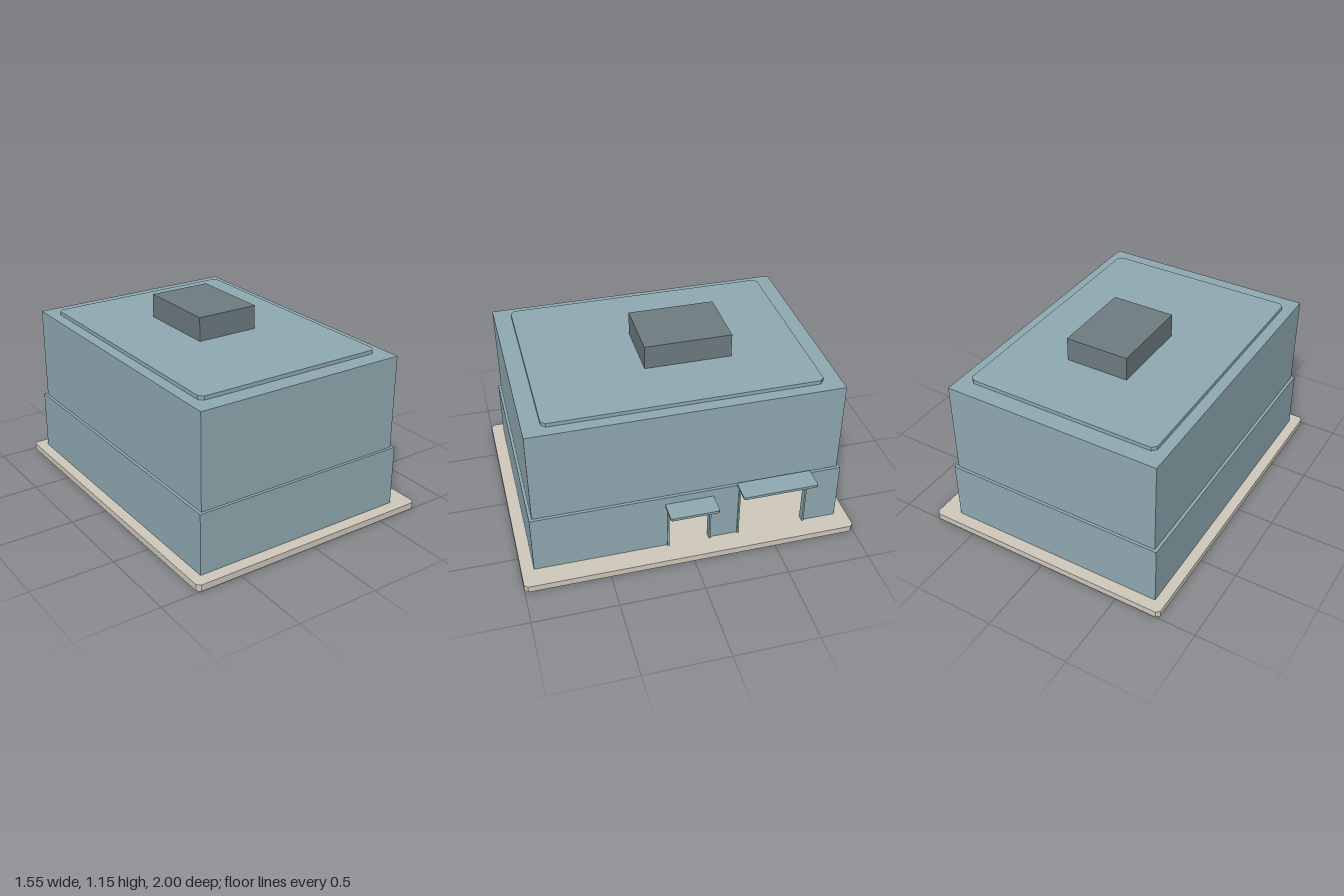
import * as THREE from 'three';

const mat = (name, color) => {
  const m = new THREE.MeshStandardMaterial({ color });
  m.name = name;
  return m;
};

export function createModel() {
  const blue = mat('blue grey wall', 0x8fa9b1);
  const cream = mat('warm concrete', 0xcfc8bb);
  const grey = mat('dark grey', 0x6d7b80);
  const model = new THREE.Group();
  model.name = 'building';

  const add = (name, geometry, material, parent = model) => {
    const mesh = new THREE.Mesh(geometry, material);
    mesh.name = name;
    parent.add(mesh);
    return mesh;
  };

  // Box given by its limits on each axis
  const box = (name, [x0, x1], [y0, y1], [z0, z1], material, parent) => {
    const g = new THREE.BoxGeometry(x1 - x0, y1 - y0, z1 - z0);
    g.translate((x0 + x1) / 2, (y0 + y1) / 2, (z0 + z1) / 2);
    return add(name, g, material, parent);
  };

  // Flat slab with chamfered corners, c on the left side and on the right side
  const slab = (name, [x0, x1], [y0, y1], [z0, z1], c, material, parent) => {
    const points = [
      [x0 + c, -z1], [x1 - c, -z1], [x1, -z1 + c], [x1, -z0 - c],
      [x1 - c, -z0], [x0 + c, -z0], [x0, -z0 - c], [x0, -z1 + c],
    ].map(([x, y]) => new THREE.Vector2(x, y));
    const g = new THREE.ExtrudeGeometry(new THREE.Shape(points), { depth: y1 - y0, bevelEnabled: false });
    g.rotateX(-Math.PI / 2).translate(0, y0, 0);
    return add(name, g, material, parent);
  };

  const floor = 0.04, ledge = 0.41, t = 0.03;
  const doors = [
    { name: 'smallEntrance', z0: -0.13, z1: 0.13, top: 0.325 },
    { name: 'largeEntrance', z0: -0.72, z1: -0.3, top: 0.388 },
  ];

  // Ground slab
  slab('groundSlab', [-0.775, 0.775], [0, floor], [-1, 1], 0.02, cream);

  // Hollow lower storey
  const x0 = -0.71, x1 = 0.645, z = 0.925;
  box('lowerFrontWall', [x0, x1], [floor, ledge], [z - t, z], blue);
  box('lowerBackWall', [x0, x1], [floor, ledge], [-z, -z + t], blue);
  box('lowerRightWall', [x0, x0 + t], [floor, ledge], [-z + t, z - t], blue);

  // Entrance wall outline, running from front to back with door notches
  const wall = new THREE.Shape();
  wall.moveTo(-z + t, floor);
  for (const d of doors) {
    wall.lineTo(-d.z1, floor);
    wall.lineTo(-d.z1, d.top);
    wall.lineTo(-d.z0, d.top);
    wall.lineTo(-d.z0, floor);
  }
  wall.lineTo(z - t, floor);
  wall.lineTo(z - t, ledge);
  wall.lineTo(-z + t, ledge);
  const wallGeometry = new THREE.ExtrudeGeometry(wall, { depth: t, bevelEnabled: false });
  wallGeometry.rotateY(Math.PI / 2).translate(x1 - t, 0, 0);
  add('entranceWall', wallGeometry, blue);

  // Entrances: jambs, lintel and canopy
  for (const d of doors) {
    const entrance = new THREE.Group();
    entrance.name = d.name;
    model.add(entrance);
    box('frontJamb', [0.612, 0.655], [floor, d.top], [d.z1 - 0.008, d.z1 + 0.002], blue, entrance);
    box('backJamb', [0.612, 0.655], [floor, d.top], [d.z0 - 0.002, d.z0 + 0.008], blue, entrance);
    box('lintel', [0.64, 0.675], [d.top, d.top + 0.02], [d.z0, d.z1], cream, entrance);
    slab('canopy', [0.64, 0.775], [d.top + 0.02, d.top + 0.036], [d.z0 - 0.015, d.z1 + 0.015], 0.009, blue, entrance);
  }

  // Upper storey, roof pad and rooftop unit
  box('upperStorey', [-0.692, 0.627], [ledge, 0.98], [-0.908, 0.908], blue);
  slab('roofPad', [-0.625, 0.558], [0.98, 1.003], [-0.803, 0.803], 0.025, blue);
  box('rooftopUnit', [-0.196, 0.192], [1.003, 1.147], [-0.37, 0.148], grey);

  return model;
}
